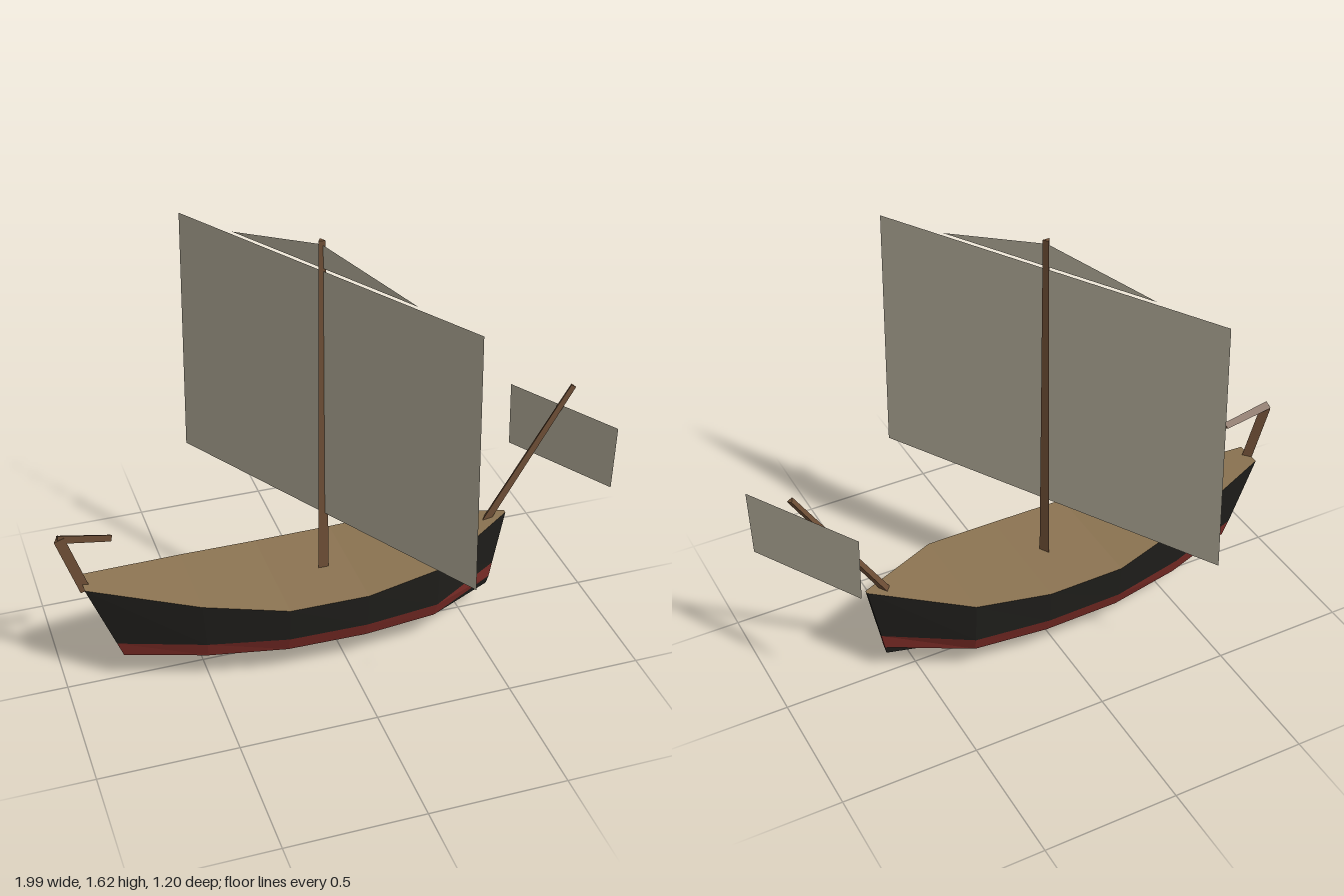
import * as THREE from 'three';

const mat = (color, side = THREE.FrontSide) =>
  new THREE.MeshStandardMaterial({ color, side, flatShading: true });

// Quad strip between two rows of points (upper row, lower row)
function strip(upper, lower) {
  const pos = [];
  for (let i = 0; i < upper.length - 1; i++) {
    const [a, b, c, d] = [upper[i], lower[i], lower[i + 1], upper[i + 1]];
    pos.push(...a, ...b, ...c, ...a, ...c, ...d);
  }
  const g = new THREE.BufferGeometry();
  g.setAttribute('position', new THREE.Float32BufferAttribute(pos, 3));
  g.computeVertexNormals();
  return g;
}

const mirrorZ = row => row.map(([x, y, z]) => [x, y, -z]);

// Closed ring around the hull from its +z half
const ring = row => [...row, ...mirrorZ(row).reverse(), row[0]];

export function createModel() {
  const group = new THREE.Group();
  const black = mat(0x1f1e1b), red = mat(0x7d2d27), wood = mat(0x6e4f36);
  const deckMat = mat(0x8c7452), cloth = mat(0xb5ae9b, THREE.DoubleSide);

  const add = (name, geometry, material) => {
    const mesh = new THREE.Mesh(geometry, material);
    mesh.name = name;
    group.add(mesh);
    return mesh;
  };

  // Hull waterlines from stern to bow: [x, y, half width]
  const deckEdge = [[-0.915, 0.45, 0.05], [-0.53, 0.37, 0.165], [-0.23, 0.325, 0.225],
    [0.06, 0.325, 0.228], [0.34, 0.355, 0.195], [0.67, 0.41, 0.007]];
  const bandTop = [[-0.817, 0.19, 0.043], [-0.515, 0.19, 0.15], [-0.23, 0.19, 0.212],
    [0.06, 0.19, 0.217], [0.34, 0.19, 0.185], [0.628, 0.19, 0.007]];
  const bandBottom = [[-0.795, 0.13, 0.038], [-0.51, 0.13, 0.135], [-0.23, 0.13, 0.19],
    [0.06, 0.13, 0.195], [0.335, 0.13, 0.165], [0.617, 0.13, 0.007]];
  const keel = [[-0.78, 0.095, 0], [-0.505, 0.025, 0], [-0.23, 0.007, 0],
    [0.06, 0.004, 0], [0.33, 0.025, 0], [0.61, 0.095, 0]];

  add('upperHull', strip(ring(deckEdge), ring(bandTop)), black);
  add('hullStripe', strip(ring(bandTop), ring(bandBottom)), red);
  add('lowerHull', strip(ring(bandBottom), ring(keel)), black);
  add('deck', strip(mirrorZ(deckEdge), deckEdge), deckMat);

  // Three-sided tapering spars running between two points in the centre plane
  const spar = (name, [x0, y0], [x1, y1], r0, r1) => {
    const len = Math.hypot(x1 - x0, y1 - y0);
    const g = new THREE.CylinderGeometry(r1, r0, len, 3).rotateY(Math.PI);
    const mesh = add(name, g, wood);
    mesh.position.set((x0 + x1) / 2, (y0 + y1) / 2, 0);
    mesh.rotation.z = -Math.atan2(x1 - x0, y1 - y0);
  };
  spar('mast', [-0.04, 0.27], [-0.04, 1.625], 0.023, 0.014);
  spar('bowsprit', [0.575, 0.36], [0.908, 0.908], 0.018, 0.013);
  spar('sternPost', [-0.905, 0.42], [-0.98, 0.65], 0.022, 0.022);
  spar('tiller', [-0.985, 0.652], [-0.8, 0.618], 0.018, 0.015);

  // Flat sails, all swung round to the same heading
  const sail = (name, x, points) => {
    const shape = new THREE.Shape(points.map(p => new THREE.Vector2(...p)));
    const mesh = add(name, new THREE.ShapeGeometry(shape), cloth);
    mesh.position.x = x;
    mesh.rotation.y = -Math.PI / 3;
  };
  sail('mainSail', -0.04, [[-0.692, 0.56], [0.692, 0.56], [0.67, 1.515], [-0.67, 1.515]]);
  sail('topSail', -0.04, [[-0.41, 1.525], [0.41, 1.525], [0, 1.61]]);
  sail('bowSail', 0.877, [[-0.229, 0.575], [0.229, 0.575], [0.236, 0.826], [-0.236, 0.826]]);

  return group;
}
